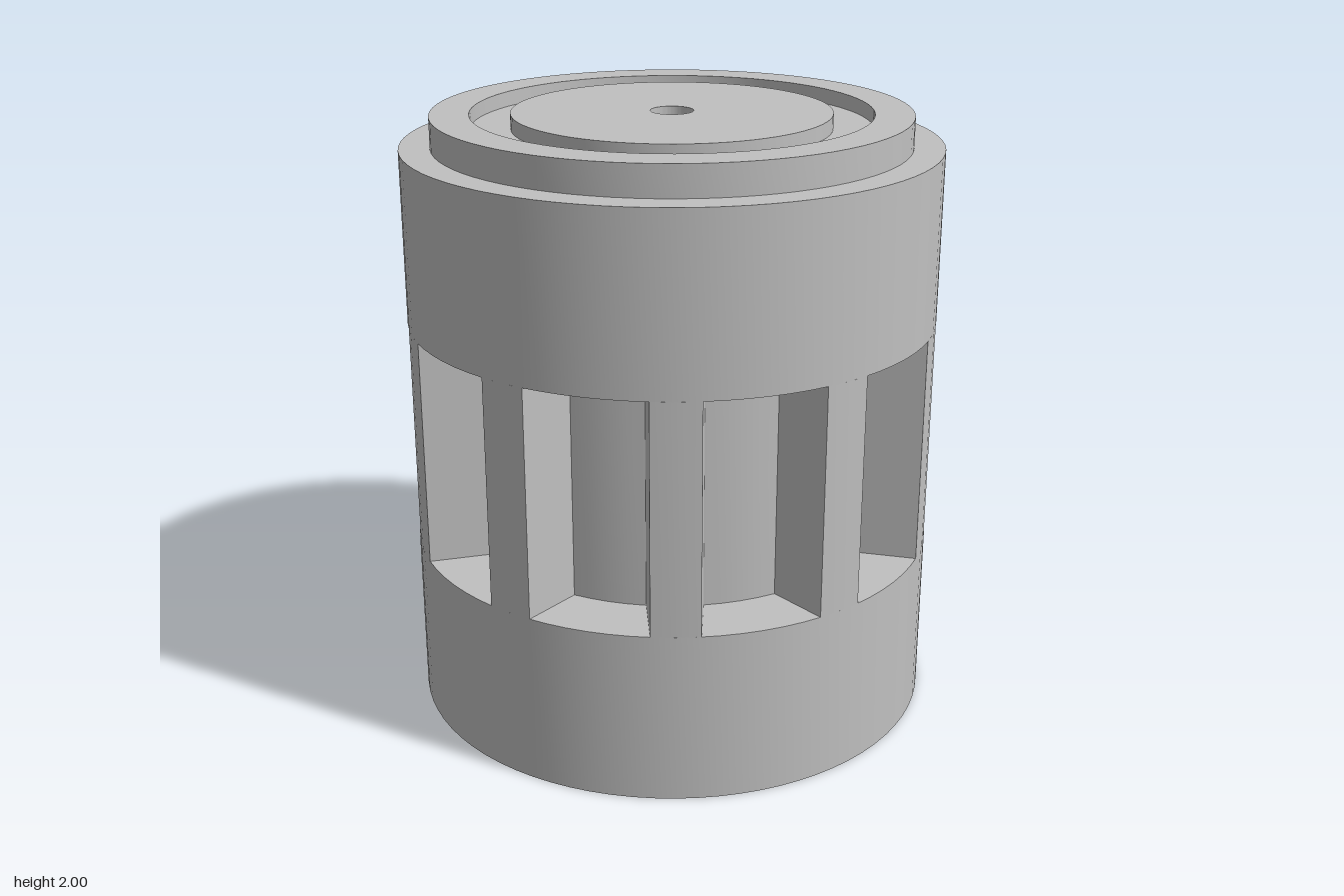
import * as THREE from 'three';
import { toCreasedNormals } from 'three/addons/utils/BufferGeometryUtils.js';

const R = 0.875, BORE = 0.07, SLOTS = 10;
const SLOT_BOTTOM = 0.57, SLOT_TOP = 1.33;

export function createModel() {
  const model = new THREE.Group();
  const grey = new THREE.MeshStandardMaterial({ color: 0xc0c0c0 });
  grey.name = 'grey';

  const add = (name, geometry) => {
    const mesh = new THREE.Mesh(toCreasedNormals(geometry, 0.4), grey);
    mesh.name = name;
    model.add(mesh);
    return mesh;
  };
  // closed [radius, height] profile turned around the y axis
  const turned = (name, profile) => add(name, new THREE.LatheGeometry(
    [...profile, profile[0]].map(([r, y]) => new THREE.Vector2(r, y)), 80));

  // Plain lower drum
  turned('lowerDrum', [[BORE, 0], [R, 0], [R, SLOT_BOTTOM], [BORE, SLOT_BOTTOM]]);

  // Upper drum with stepped rim, shallow ring groove and central disc
  turned('upperDrum', [
    [BORE, SLOT_TOP], [R, SLOT_TOP], [R, 1.9], [0.775, 1.9], [0.775, 2],
    [0.648, 2], [0.648, 1.95], [0.517, 1.95], [0.517, 2], [BORE, 2],
  ]);

  // Slotted middle: ten ribs between flared slots
  const shape = new THREE.Shape();
  const pitch = Math.PI * 2 / SLOTS;
  const outerHalf = 0.225, innerHalf = 0.18, innerR = 0.67;
  const arc = (radius, from, to, steps, first) => {
    for (let i = 0; i <= steps; i++) {
      const a = from + (to - from) * i / steps;
      const x = radius * Math.cos(a), y = radius * Math.sin(a);
      if (first && i === 0) shape.moveTo(x, y);
      else shape.lineTo(x, y);
    }
  };
  for (let k = 0; k < SLOTS; k++) {
    const mid = Math.PI / 2 + k * pitch;
    arc(innerR, mid - innerHalf, mid + innerHalf, 4, k === 0);
    arc(R, mid + outerHalf, mid + pitch - outerHalf, 3, false);
  }
  shape.closePath();
  const bore = new THREE.Path();
  bore.absarc(0, 0, BORE, 0, Math.PI * 2, true);
  shape.holes.push(bore);
  const core = new THREE.ExtrudeGeometry(shape, {
    depth: SLOT_TOP - SLOT_BOTTOM, bevelEnabled: false, curveSegments: 32,
  });
  core.rotateX(-Math.PI / 2);
  core.translate(0, SLOT_BOTTOM, 0);
  add('slottedCore', core);

  return model;
}
